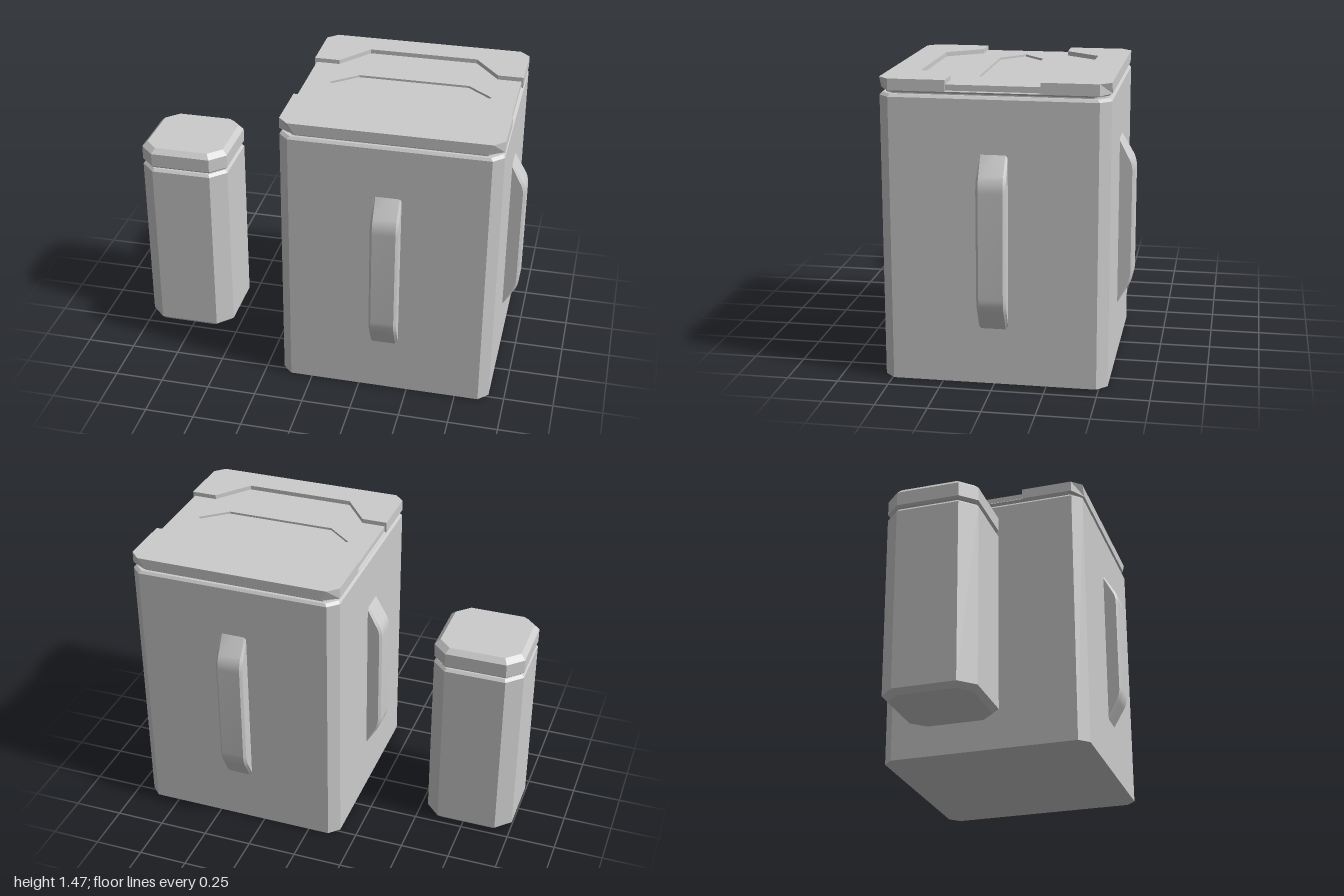
import * as THREE from 'three';
import { toCreasedNormals } from 'three/addons/utils/BufferGeometryUtils.js';

const grey = new THREE.MeshStandardMaterial({ color: 0xcccccc, flatShading: true });
const smoothGrey = new THREE.MeshStandardMaterial({ color: 0xcccccc });

function add(parent, name, geometry, material = grey) {
  const mesh = new THREE.Mesh(geometry, material);
  mesh.name = name;
  parent.add(mesh);
  return mesh;
}

// Square with cut corners, stacked through rings of [y, half width, corner cut]
function octagonLoft(rings) {
  const positions = [];
  const index = [];
  for (const [y, h, c] of rings) {
    const k = h - c;
    for (const [x, z] of [[h, k], [h, -k], [k, -h], [-k, -h], [-h, -k], [-h, k], [-k, h], [k, h]]) {
      positions.push(x, y, z);
    }
  }
  for (let r = 0; r < rings.length - 1; r++) {
    for (let i = 0; i < 8; i++) {
      const a = r * 8 + i, b = r * 8 + (i + 1) % 8;
      index.push(a, b, b + 8, a, b + 8, a + 8);
    }
  }
  const top = (rings.length - 1) * 8;
  for (let i = 1; i < 7; i++) {
    index.push(0, i + 1, i, top, top + i, top + i + 1);
  }
  const g = new THREE.BufferGeometry();
  g.setAttribute('position', new THREE.Float32BufferAttribute(positions, 3));
  g.setIndex(index);
  const flat = g.toNonIndexed();
  flat.computeVertexNormals();
  return flat;
}

const outline = (points) => new THREE.Shape(points.map(([x, y]) => new THREE.Vector2(x, y)));

// Flat plan shape raised from y0 to y1
function slab(shape, y0, y1) {
  return new THREE.ExtrudeGeometry(shape, { depth: y1 - y0, bevelEnabled: false })
    .rotateX(-Math.PI / 2).translate(0, y0, 0);
}

function handleGeometry() {
  const s = new THREE.Shape();
  s.moveTo(0.51, 0.23);
  s.lineTo(0.592, 0.37);
  s.quadraticCurveTo(0.615, 0.405, 0.615, 0.45);
  s.lineTo(0.615, 0.955);
  s.quadraticCurveTo(0.615, 1.0, 0.592, 1.035);
  s.lineTo(0.51, 1.175);
  s.closePath();
  const g = new THREE.ExtrudeGeometry(s, {
    depth: 0.116, bevelEnabled: true, bevelThickness: 0.012, bevelSize: 0.012,
    bevelOffset: -0.012, bevelSegments: 1, curveSegments: 6,
  }).translate(0, 0, -0.058);
  return toCreasedNormals(g, 0.5);
}

function createLargeBin() {
  const bin = new THREE.Group();
  bin.name = 'largeBin';
  bin.position.x = 0.38;

  add(bin, 'largeBody', octagonLoft([[0.005, 0.54, 0.05], [1.38, 0.54, 0.05], [1.393, 0.53, 0.05]]));
  add(bin, 'largeNeck', octagonLoft([[1.38, 0.515, 0.05], [1.41, 0.515, 0.05]]));
  add(bin, 'lidBase', octagonLoft([[1.4, 0.525, 0.07], [1.41, 0.535, 0.08], [1.415, 0.53, 0.08]]));

  // Sunken middle of the lid with a shallow hexagonal recess
  const band = [[-0.53, -0.225], [-0.41, -0.225], [-0.28, -0.395], [0.28, -0.395], [0.41, -0.225], [0.53, -0.225],
    [0.53, 0.225], [0.41, 0.225], [0.28, 0.395], [-0.28, 0.395], [-0.41, 0.225], [-0.53, 0.225]];
  add(bin, 'lidBandFloor', slab(outline(band), 1.405, 1.432));
  const bandTop = outline(band);
  bandTop.holes.push(new THREE.Path([[-0.41, 0], [-0.28, 0.11], [0.28, 0.11], [0.41, 0], [0.28, -0.11], [-0.28, -0.11]]
    .map(([x, y]) => new THREE.Vector2(x, y))));
  add(bin, 'lidBand', slab(bandTop, 1.432, 1.443));

  // Raised plates at the front and back, corners tapering toward the bottom
  const plate = slab(outline([[-0.54, -0.22], [-0.54, -0.49], [-0.49, -0.54], [0.49, -0.54], [0.54, -0.49], [0.54, -0.22],
    [0.41, -0.22], [0.28, -0.39], [-0.28, -0.39], [-0.41, -0.22]]), 1.41, 1.465);
  const p = plate.attributes.position;
  for (let i = 0; i < p.count; i++) {
    if (p.getY(i) < 1.42 && p.getZ(i) > 0.53) p.setX(i, Math.sign(p.getX(i)) * 0.455);
  }
  plate.computeVertexNormals();
  add(bin, 'frontLidPlate', plate);
  add(bin, 'backLidPlate', plate).rotation.y = Math.PI;

  // One handle on each of the four sides
  const handle = handleGeometry();
  ['leftHandle', 'backHandle', 'rightHandle', 'frontHandle'].forEach((name, i) => {
    add(bin, name, handle, smoothGrey).rotation.y = i * Math.PI / 2;
  });
  return bin;
}

function createSmallBin() {
  const bin = new THREE.Group();
  bin.name = 'smallBin';
  bin.position.x = -0.77;
  add(bin, 'smallBody', octagonLoft([[0, 0.205, 0.065], [0.025, 0.23, 0.075], [0.938, 0.23, 0.075], [0.952, 0.218, 0.07]]));
  add(bin, 'smallNeck', octagonLoft([[0.94, 0.205, 0.065], [0.975, 0.205, 0.065]]));
  add(bin, 'smallLid', octagonLoft([[0.96, 0.22, 0.07], [0.97, 0.23, 0.075], [1.04, 0.23, 0.075], [1.065, 0.205, 0.065]]));
  return bin;
}

export function createModel() {
  const model = new THREE.Group();
  model.name = 'binSet';
  model.add(createLargeBin(), createSmallBin());
  return model;
}
